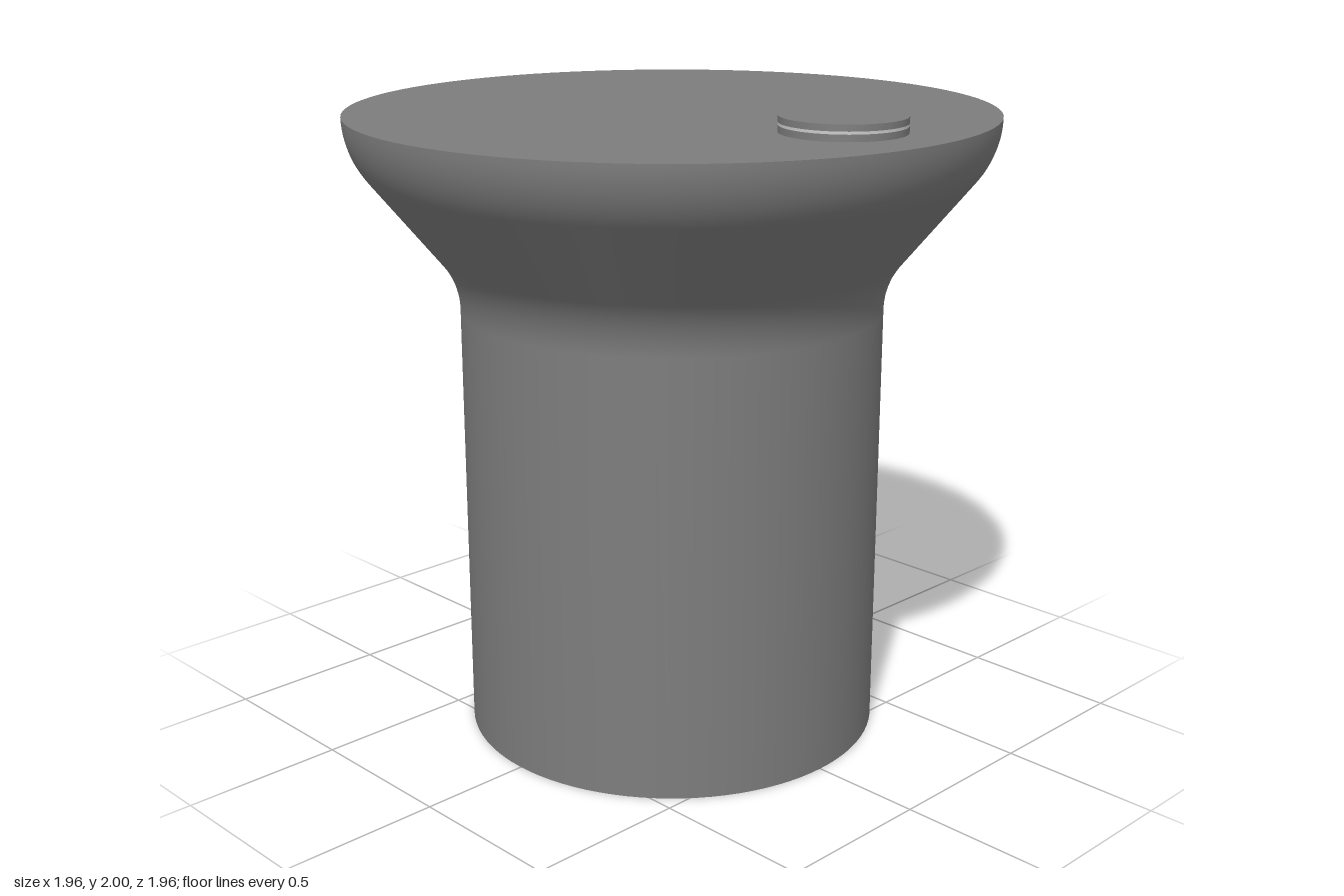
import * as THREE from 'three';

const darkGrey = new THREE.MeshStandardMaterial({ color: 0x7d7d7d, side: THREE.DoubleSide });
const lightGrey = new THREE.MeshStandardMaterial({ color: 0xcccccc, side: THREE.DoubleSide });
const SEGMENTS = 96;

function addPart(parent, name, geometry, material = darkGrey) {
  const mesh = new THREE.Mesh(geometry, material);
  mesh.name = name;
  parent.add(mesh);
}

// flat disc facing up at height y
function disc(radius, y) {
  return new THREE.CircleGeometry(radius, SEGMENTS).rotateX(-Math.PI / 2).translate(0, y, 0);
}

// open upright band between two heights
function band(radius, y0, y1) {
  return new THREE.CylinderGeometry(radius, radius, y1 - y0, SEGMENTS, 1, true).translate(0, (y0 + y1) / 2, 0);
}

// points on a circular fillet, from one angle to another
function fillet(cx, cy, r, from, to, steps = 12) {
  return Array.from({ length: steps + 1 }, (_, i) => {
    const a = from + ((to - from) * i) / steps;
    return new THREE.Vector2(cx + r * Math.cos(a), cy + r * Math.sin(a));
  });
}

export function createModel() {
  const model = new THREE.Group();
  model.name = 'flaredColumn';

  const stemRadius = 0.65, headRadius = 0.98, topY = 1.953;
  const lowerBend = 0.26, upperBend = 0.28, slope = THREE.MathUtils.degToRad(39.2);

  // hollow stem blending into the flared head, open at the bottom
  const profile = [
    new THREE.Vector2(stemRadius, 0),
    ...fillet(stemRadius + lowerBend, 1.355, lowerBend, Math.PI, Math.PI - slope),
    ...fillet(headRadius - upperBend, topY, upperBend, -slope, 0),
  ];
  addPart(model, 'flaredBody', new THREE.LatheGeometry(profile, SEGMENTS));
  addPart(model, 'topPlate', disc(headRadius, topY));

  // small round button near the front edge, with a thin light ring around its middle
  const button = new THREE.Group();
  button.name = 'button';
  button.position.set(0.021, topY, 0.655);
  model.add(button);
  const radius = 0.182, height = 2 - topY;
  addPart(button, 'buttonBase', band(radius, 0, 0.02));
  addPart(button, 'buttonRing', band(radius, 0.02, 0.028), lightGrey);
  addPart(button, 'buttonRim', band(radius, 0.028, height));
  addPart(button, 'buttonCap', disc(radius, height));

  return model;
}
